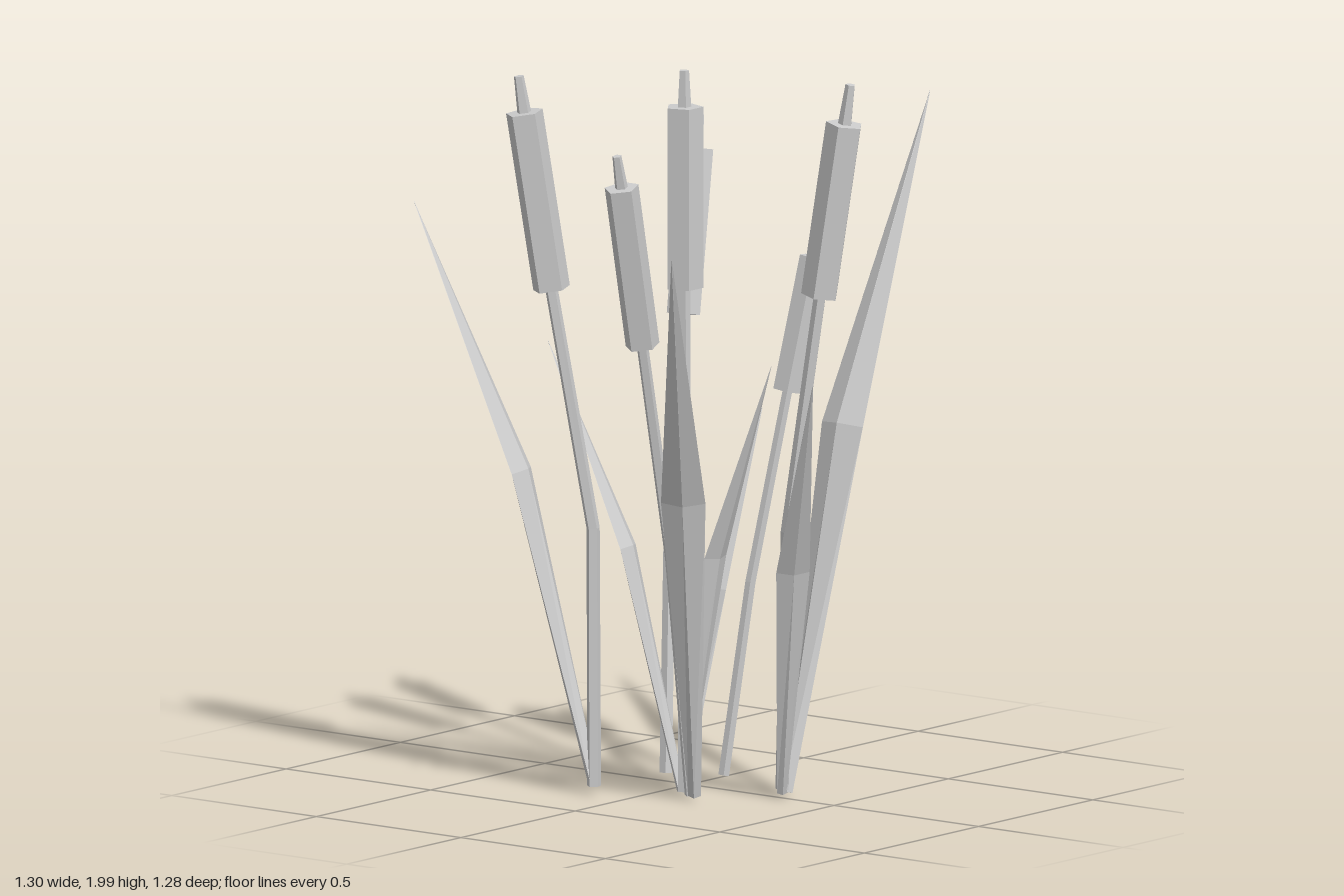
import * as THREE from 'three';

const V = (a) => new THREE.Vector3(...a);

// Faceted sweep: rings of [halfDepth, halfWidth] at each point, first corner facing the heading
function loft(points, radii, sides, heading) {
  const pts = points.map(V), pos = [];
  const rings = pts.map((p, i) => {
    const d = new THREE.Vector3();
    if (i > 0) d.add(p.clone().sub(pts[i - 1]).normalize());
    if (i < pts.length - 1) d.add(pts[i + 1].clone().sub(p).normalize());
    d.normalize();
    const u = new THREE.Vector3(Math.cos(heading), 0, Math.sin(heading));
    u.addScaledVector(d, -u.dot(d)).normalize();
    const w = d.clone().cross(u);
    return Array.from({ length: sides }, (_, j) => {
      const t = (j / sides) * Math.PI * 2;
      return p.clone().addScaledVector(u, Math.cos(t) * radii[i][0]).addScaledVector(w, Math.sin(t) * radii[i][1]);
    });
  });
  const tri = (...vs) => vs.forEach((v) => pos.push(v.x, v.y, v.z));
  const last = pts.length - 1;
  for (let j = 0; j < sides; j++) {
    const k = (j + 1) % sides;
    for (let i = 0; i < last; i++) {
      const a = rings[i], b = rings[i + 1];
      tri(a[j], a[k], b[k]);
      tri(a[j], b[k], b[j]);
    }
    tri(pts[0], rings[0][k], rings[0][j]);
    tri(pts[last], rings[last][j], rings[last][k]);
  }
  const geo = new THREE.BufferGeometry();
  geo.setAttribute('position', new THREE.Float32BufferAttribute(pos, 3));
  geo.computeVertexNormals();
  return geo;
}

export function createModel() {
  const group = new THREE.Group();
  const grey = new THREE.MeshStandardMaterial({ color: 0xcccccc, flatShading: true });
  grey.name = 'plain grey';
  const add = (parent, name, geo) => {
    const m = new THREE.Mesh(geo, grey);
    m.name = name;
    parent.add(m);
  };
  const round = (...rs) => rs.map((r) => [r, r]);

  // Reeds: stem base, stem bend, head bottom, head top, spike tip, corner heading
  const E = 0, S = Math.PI / 2, W = Math.PI, N = -Math.PI / 2;
  const reeds = [
    [[-0.1, 0.01, 0.06], [-0.1, 0.75, 0.06], [-0.1, 1.4, 0.06], [-0.1, 1.9, 0.06], [-0.1, 2, 0.06], N],
    [[0.01, 0.03, 0.315], [0.012, 0.74, 0.33], [0.035, 1.4, 0.425], [0.053, 1.88, 0.497], [0.056, 1.99, 0.513], S],
    [[-0.17, 0.02, 0.14], [-0.257, 0.68, 0.14], [-0.383, 1.29, 0.14], [-0.475, 1.74, 0.14], [-0.495, 1.83, 0.14], W],
    [[-0.272, 0.03, -0.115], [-0.27, 0.74, -0.12], [-0.336, 1.4, -0.212], [-0.392, 1.89, -0.262], [-0.403, 1.99, -0.272], W],
    [[-0.04, 0.04, -0.05], [0.02, 0.66, -0.085], [0.14, 1.27, -0.131], [0.236, 1.71, -0.161], [0.256, 1.8, -0.167], E],
    [[0.03, 0.04, 0.095], [0.09, 0.57, 0.14], [0.182, 1.09, 0.195], [0.247, 1.455, 0.236], [0.261, 1.54, 0.245], E],
  ];
  for (const [base, bend, bottom, top, tip, heading] of reeds) {
    const s = tip[1] / 2;
    const reed = new THREE.Group();
    reed.name = 'reed';
    add(reed, 'stem', loft([base, bend, bottom], round(0.02 * s, 0.019 * s, 0.018 * s), 5, heading));
    add(reed, 'seedHead', loft([bottom, top], round(0.053 * s, 0.053 * s), 5, heading));
    add(reed, 'spike', loft([top, tip], round(0.02 * s, 0.014 * s), 5, heading));
    group.add(reed);
  }

  // Leaves: base, widest bend, tip; diamond section, flat side facing the lean
  const leaves = [
    [[0.02, 0.02, 0.32], [0.262, 1, 0.322], [0.645, 1.865, 0.322]],
    [[0, 0.02, 0.32], [-0.11, 0.66, 0.445], [-0.27, 1.22, 0.64]],
    [[-0.18, 0.02, 0.16], [-0.375, 0.87, 0.275], [-0.65, 1.6, 0.452]],
    [[-0.1, 0.01, 0.05], [-0.13, 0.67, -0.11], [-0.183, 1.22, -0.345]],
    [[-0.1, 0.01, 0.06], [0.035, 0.55, 0.06], [0.24, 1.02, 0.062]],
    [[-0.1, 0.01, 0.06], [-0.102, 0.67, 0.17], [-0.11, 1.22, 0.37]],
    [[-0.272, 0.03, -0.115], [-0.312, 0.88, -0.335], [-0.393, 1.6, -0.642]],
  ];
  for (const [base, bend, tip] of leaves) {
    const h = tip[1];
    const heading = Math.atan2(tip[2] - base[2], tip[0] - base[0]);
    const radii = [[0.01 * h, 0.011 * h], [0.014 * h, 0.038 * h], [0.0008, 0.0008]];
    add(group, 'leaf', loft([base, bend, tip], radii, 4, heading));
  }
  return group;
}
